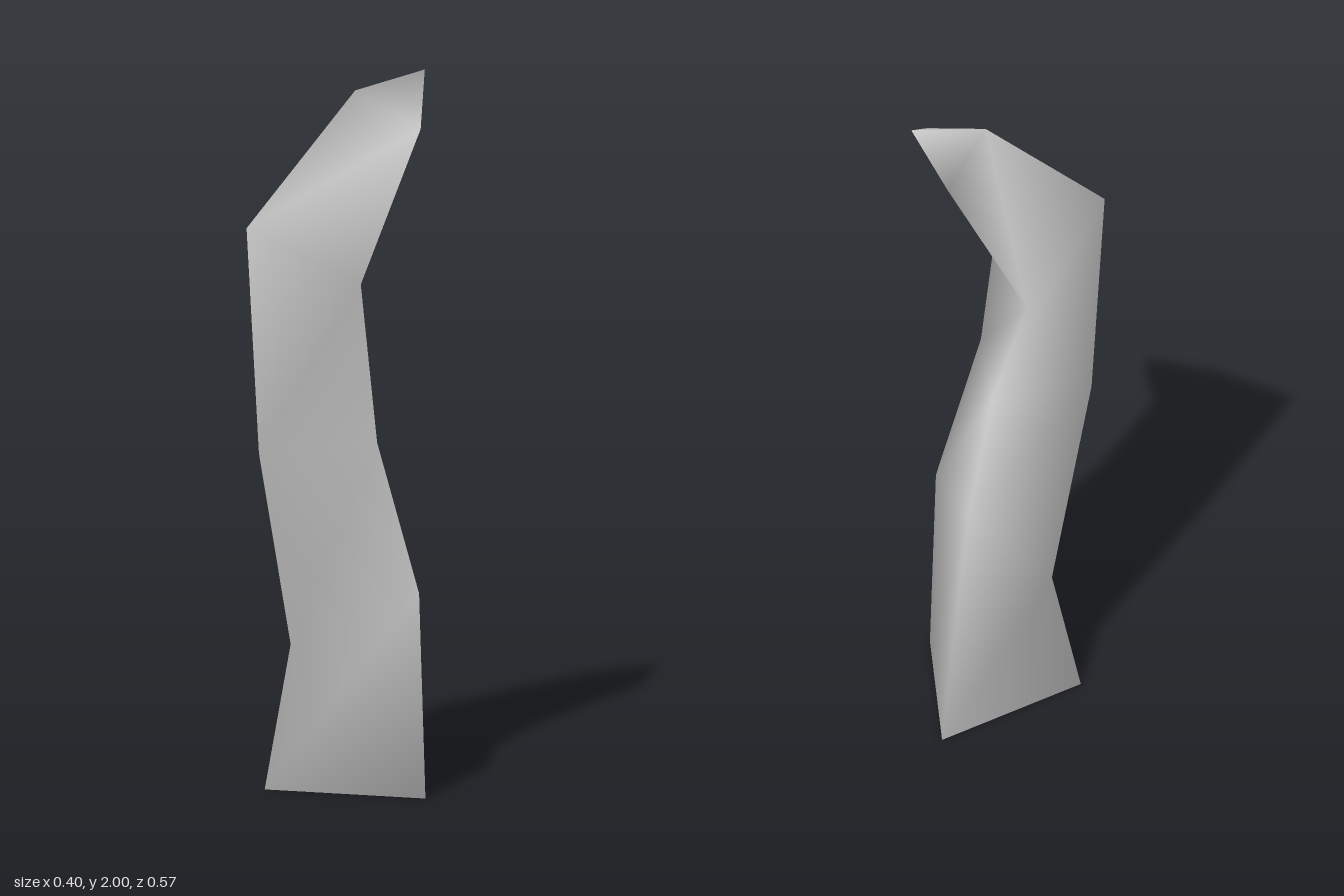
import * as THREE from 'three';

// Tilted triangular sections from the foot up: left-front, right and left-back corners
const SECTIONS = [
  [[-0.2, 0, 0.18], [0.2, 0, -0.055], [-0.2, 0, -0.285]],
  [[-0.19, 0.4, 0.09], [0.185, 0.58, -0.045], [-0.19, 0.73, -0.19]],
  [[-0.15, 0.97, 0.25], [0.147, 1.02, 0.08], [-0.15, 1.06, -0.085]],
  [[-0.163, 1.61, 0.285], [0.16, 1.48, 0.155], [-0.163, 1.34, 0.025]],
  [[-0.098, 1.96, -0.07], [0.097, 1.87, -0.135], [-0.098, 1.8, -0.197]],
];
const TIP = [-0.033, 2, -0.275];

// Skin the sections, closing the foot with a flat cap and the top with a point
function loft(sections, tip) {
  const n = sections[0].length;
  const tipIndex = sections.length * n;
  const index = [0, 2, 1];
  for (let s = 0; s < sections.length; s++) {
    for (let i = 0; i < n; i++) {
      const a = s * n + i;
      const b = s * n + ((i + 1) % n);
      if (s < sections.length - 1) index.push(a, b, b + n, a, b + n, a + n);
      else index.push(a, b, tipIndex);
    }
  }
  const geometry = new THREE.BufferGeometry();
  geometry.setAttribute('position', new THREE.Float32BufferAttribute([...sections.flat(2), ...tip], 3));
  geometry.setIndex(index);
  geometry.computeVertexNormals(); // shared vertices keep the surface smooth
  return geometry;
}

export function createModel() {
  const group = new THREE.Group();
  group.name = 'bentHorn';

  const grey = new THREE.MeshStandardMaterial({ color: 0xcccccc });
  grey.name = 'lightGrey';

  // One continuous bent horn
  const horn = new THREE.Mesh(loft(SECTIONS, TIP), grey);
  horn.name = 'horn';
  group.add(horn);
  return group;
}
